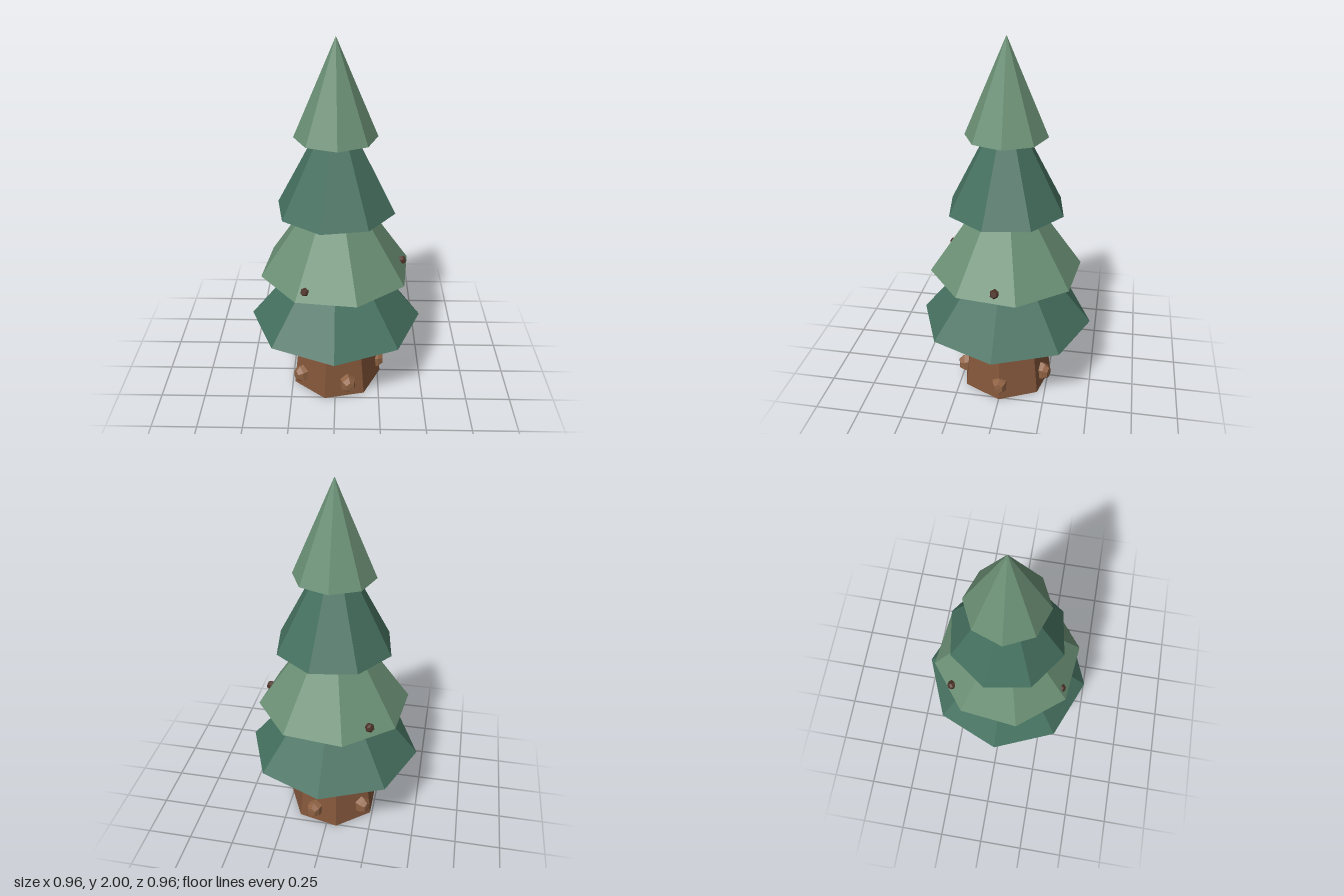
import * as THREE from 'three';

const paint = (color) => new THREE.MeshStandardMaterial({ color, flatShading: true });

// low-poly turned shape whose axis points outward from the tree (local +x), tilted up by `tilt`
function outwardKnob(profile, sides, material, tilt) {
  const points = profile.map(([r, h]) => new THREE.Vector2(r, h));
  const geo = new THREE.LatheGeometry(points, sides);
  geo.rotateY(Math.PI / sides);
  geo.rotateZ(tilt - Math.PI / 2);
  return new THREE.Mesh(geo, material);
}

// puts a part at a distance from the trunk axis, turned about it by an angle
function placeAround(part, angle, radius, y) {
  part.position.set(radius * Math.cos(angle), y, radius * Math.sin(angle));
  part.rotation.y = -angle;
  return part;
}

export function createModel() {
  const tree = new THREE.Group();
  tree.name = 'pineTree';

  const darkGreen = paint(0x45705f);
  const lightGreen = paint(0x6b9075);
  const bark = paint(0x83563a);
  const knotBrown = paint(0x8f6243);
  const coneBrown = paint(0x4d3328);

  // tapered seven-sided trunk, a corner facing +x
  const trunk = new THREE.Mesh(new THREE.CylinderGeometry(0.21, 0.265, 0.46, 7), bark);
  trunk.name = 'trunk';
  trunk.position.y = 0.23;
  trunk.rotation.y = Math.PI / 2;
  tree.add(trunk);

  // knots around the foot of the trunk
  const knotProfile = [[0, 0], [0.056, 0.01], [0.05, 0.04], [0.03, 0.066], [0, 0.068]];
  for (let i = 0; i < 5; i++) {
    const knot = outwardKnob(knotProfile, 6, knotBrown, 0);
    knot.name = 'trunkKnot';
    knot.scale.set(1, 1.05, 0.85);
    tree.add(placeAround(knot, (i * Math.PI * 2) / 5, 0.213, 0.085));
  }

  // foliage tiers, each twisted a little further: base radius, base height, cone height
  const tiers = [
    [0.48, 0.415, 0.59],
    [0.42, 0.73, 0.61],
    [0.322, 1.097, 0.61],
    [0.217, 1.495, 0.505],
  ];
  tiers.forEach(([radius, base, height], i) => {
    const geo = new THREE.ConeGeometry(radius, height, 8);
    const tier = new THREE.Mesh(geo, i % 2 ? lightGreen : darkGreen);
    tier.name = 'foliageTier' + (i + 1);
    tier.position.y = base + height / 2;
    tier.rotation.y = THREE.MathUtils.degToRad(16 * i);
    tree.add(tier);
  });

  // pine cones poking through the second tier
  const pineProfile = [[0, 0], [0.022, 0.012], [0.034, 0.055], [0.03, 0.14], [0.024, 0.2], [0.016, 0.21], [0, 0.21]];
  for (let i = 0; i < 3; i++) {
    const pineCone = new THREE.Group();
    pineCone.name = 'pineCone';
    pineCone.add(outwardKnob(pineProfile, 6, coneBrown, THREE.MathUtils.degToRad(18)));
    tree.add(placeAround(pineCone, i * 2, 0.185, 0.715));
  }

  return tree;
}
